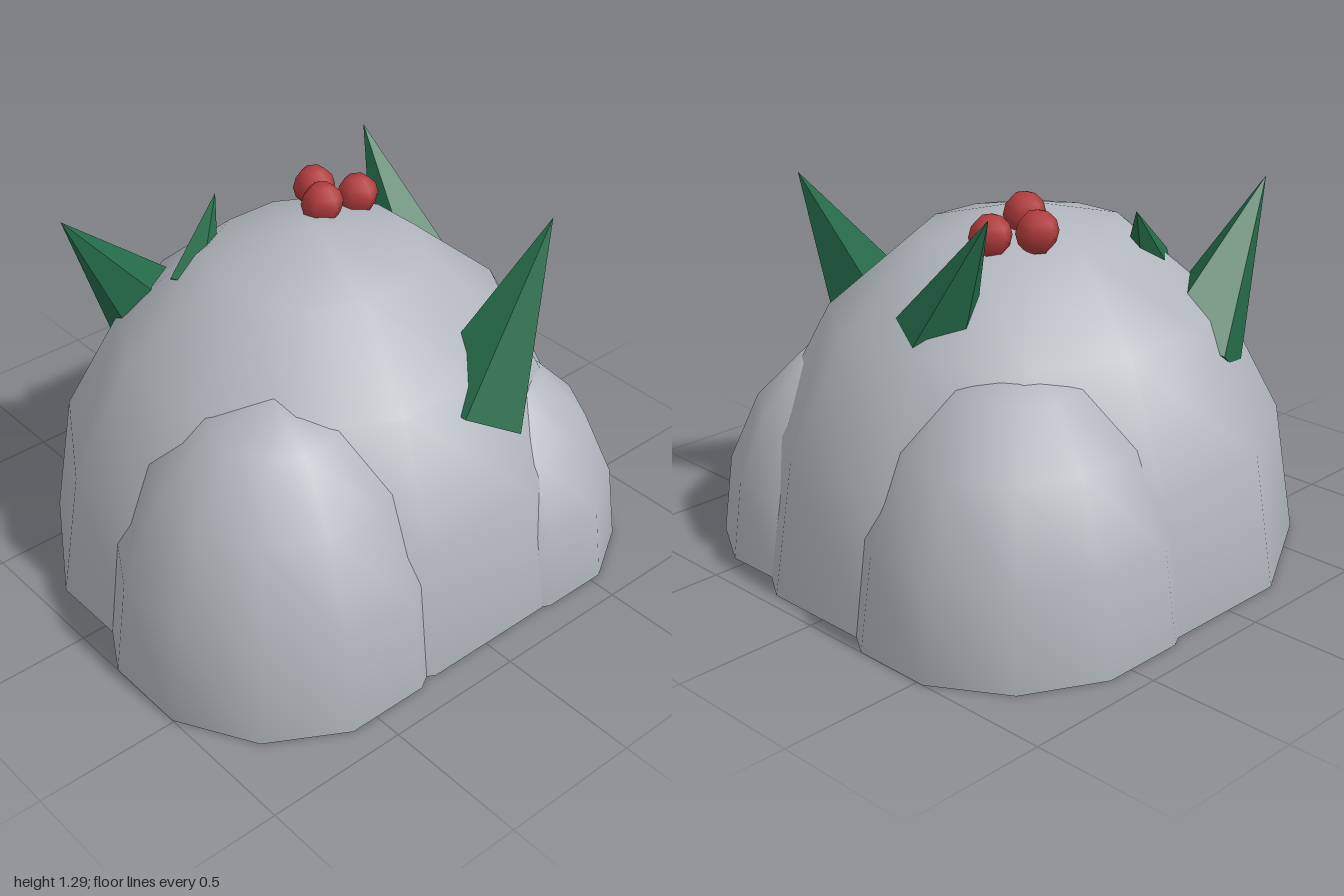
import * as THREE from 'three';

const stone = new THREE.MeshStandardMaterial({ color: 0xb0b6bc });
stone.name = 'stone grey';
const leaf = new THREE.MeshStandardMaterial({ color: 0x256b4a, flatShading: true });
leaf.name = 'leaf green';
const berry = new THREE.MeshStandardMaterial({ color: 0xb03a3c });
berry.name = 'berry red';

function addMesh(parent, name, geometry, material) {
  const mesh = new THREE.Mesh(geometry, material);
  mesh.name = name;
  parent.add(mesh);
  return mesh;
}

// Twelve-sided half ellipsoid with a flat underside; w and d are half width and half depth
function addDome(parent, name, x, z, w, h, d) {
  const dome = new THREE.Group();
  dome.name = name;
  const c = Math.cos(Math.PI / 12);
  const shell = new THREE.SphereGeometry(1, 12, 4, 0, Math.PI * 2, 0, Math.PI / 2);
  const base = new THREE.CircleGeometry(1, 12).rotateX(Math.PI / 2);
  for (const g of [shell, base]) g.rotateY(Math.PI / 12).scale(w / c, h, d / c);
  addMesh(dome, name + 'Shell', shell, stone);
  addMesh(dome, name + 'Underside', base, stone);
  dome.position.set(x, 0, z);
  parent.add(dome);
}

// Five-sided spike given by its tip, the direction from tip to base and the side its first edge faces
function addSpike(parent, tip, direction, edge, height) {
  const y = new THREE.Vector3(...direction).normalize().negate();
  const z = new THREE.Vector3(...edge).projectOnPlane(y).normalize();
  const x = new THREE.Vector3().crossVectors(y, z);
  const g = new THREE.ConeGeometry(height * 0.287, height, 5).translate(0, -height / 2, 0);
  g.applyMatrix4(new THREE.Matrix4().makeBasis(x, y, z));
  addMesh(parent, 'leafSpike', g, leaf).position.set(...tip);
}

export function createModel() {
  const model = new THREE.Group();
  model.name = 'boulderWithLeavesAndBerries';

  // Main boulder and the three lumps around it
  addDome(model, 'boulder', 0.02, 0, 0.93, 1.2, 0.888);
  addDome(model, 'frontRightLump', -0.45, 0.345, 0.55, 0.91, 0.555);
  addDome(model, 'backLeftLump', 0.44, -0.385, 0.56, 0.845, 0.525);
  addDome(model, 'frontLeftLump', 0.42, 0.43, 0.46, 0.72, 0.47);

  // Leaf spikes
  const leaves = new THREE.Group();
  leaves.name = 'leaves';
  addSpike(leaves, [0.52, 1.29, 0.57], [-0.49, -0.87, 0], [1, 0, 0], 0.675);
  addSpike(leaves, [-0.65, 1.25, -0.48], [0.574, -0.819, 0], [1, 0, 0], 0.65);
  addSpike(leaves, [0.5, 1.29, -0.31], [0.04, -0.88, 0.47], [0.16, -0.755, 0.636], 0.52);
  addSpike(leaves, [-0.11, 1.21, -0.37], [-0.57, -0.76, 0.31], [-0.74, -0.62, 0.26], 0.32);
  model.add(leaves);

  // Berry cluster
  const berries = new THREE.Group();
  berries.name = 'berries';
  for (const p of [[0.13, 1.2, -0.1], [0.21, 1.18, -0.235], [0.305, 1.163, -0.12]]) {
    const g = new THREE.SphereGeometry(0.073, 6, 6).rotateY(Math.PI / 6);
    addMesh(berries, 'berry', g, berry).position.set(...p);
  }
  model.add(berries);
  return model;
}
